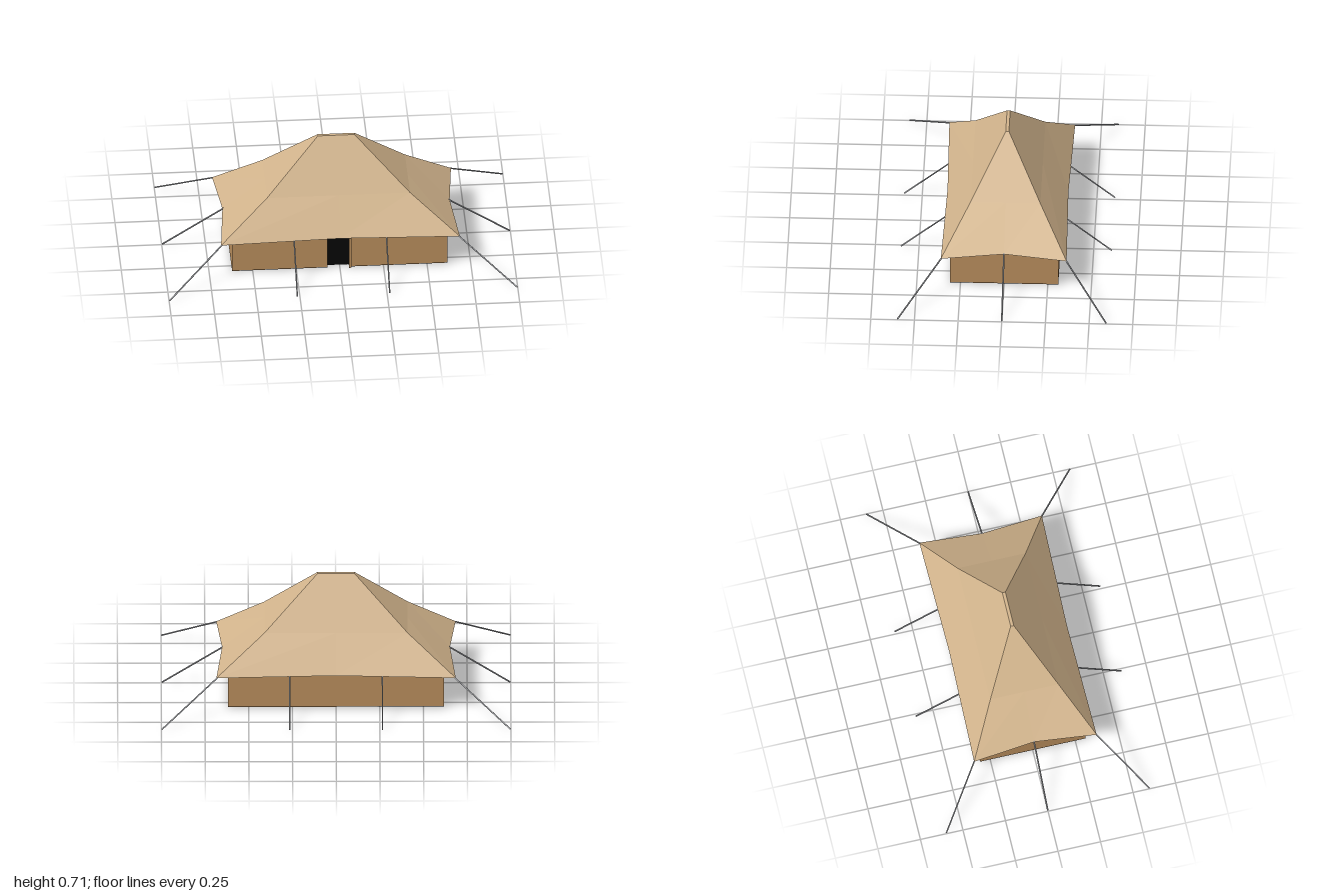
import * as THREE from 'three';

const mat = (name, color, extra = {}) => {
  const m = new THREE.MeshStandardMaterial({ color, ...extra });
  m.name = name;
  return m;
};

export function createModel() {
  const model = new THREE.Group();
  model.name = 'tent';
  const roofCanvas = mat('roof canvas', 0xd2b48c, { side: THREE.DoubleSide, flatShading: true });
  const wallCanvas = mat('wall canvas', 0xb88d5c);
  const black = mat('dark interior', 0x060606);
  const rope = mat('grey rope', 0xa4a6aa);

  const add = (name, geometry, material) => {
    const mesh = new THREE.Mesh(geometry, material);
    mesh.name = name;
    model.add(mesh);
    return mesh;
  };
  // box given by its minimum and maximum corners
  const box = (name, a, b, material) => {
    const g = new THREE.BoxGeometry(b[0] - a[0], b[1] - a[1], b[2] - a[2]);
    g.translate((a[0] + b[0]) / 2, (a[1] + b[1]) / 2, (a[2] + b[2]) / 2);
    return add(name, g, material);
  };

  // Roof: rings of corners and side middles, from the eaves up to the ridge
  const ring = (x, z, y, midX = x, midZ = z, sideY = y, frontY = y) => [
    [x, y, z], [midX, sideY, 0], [x, y, -z], [0, frontY, -midZ],
    [-x, y, -z], [-midX, sideY, 0], [-x, y, z], [0, frontY, midZ],
  ];
  const rings = [
    ring(0.685, 0.36, 0.212, 0.652, 0.346, 0.23, 0.22),
    ring(0.41, 0.2, 0.42),
    ring(0.105, 0.009, 0.706),
  ];
  const index = [];
  for (let r = 0; r < 2; r++) {
    for (let i = 0; i < 8; i++) {
      const a = r * 8 + i, b = r * 8 + (i + 1) % 8;
      index.push(a, b, b + 8, a, b + 8, a + 8);
    }
  }
  // ridge cap
  for (let i = 1; i < 7; i++) index.push(16, 16 + i, 17 + i);
  const roofGeo = new THREE.BufferGeometry();
  roofGeo.setAttribute('position', new THREE.Float32BufferAttribute(rings.flat(2), 3));
  roofGeo.setIndex(index);
  roofGeo.computeVertexNormals();
  add('roof', roofGeo, roofCanvas);

  // Walls with a doorway in the front
  const X = 0.618, Z = 0.31, T = 0.01, Y0 = 0.006, Y1 = 0.235;
  const doorL = -0.072, doorR = 0.052;
  box('backWall', [-X, Y0, -Z], [X, Y1, -Z + T], wallCanvas);
  for (const s of [-1, 1]) {
    const x = s * (X - T / 2);
    box(s > 0 ? 'leftWall' : 'rightWall', [x - T / 2, Y0, -Z + T], [x + T / 2, Y1, Z - T], wallCanvas);
  }
  box('frontWallRight', [-X, Y0, Z - T], [doorL, Y1, Z], wallCanvas);
  box('frontWallLeft', [doorR, Y0, Z - T], [X, Y1, Z], wallCanvas);

  // Door flap tied back beside the dark opening
  box('doorFlap', [doorR, Y0, Z], [doorR + 0.014, Y1, Z + 0.014], wallCanvas);
  box('doorway', [doorL - 0.01, Y0, Z - 0.03], [doorR + 0.01, Y1, Z - 0.022], black);

  // Floor, notched at the doorway
  const outline = [[-X, -Z], [X, -Z], [X, Z], [doorR + 0.014, Z], [doorR + 0.014, Z + 0.014],
    [doorR, Z + 0.014], [doorR, Z - 0.024], [doorL, Z - 0.024], [doorL, Z], [-X, Z]];
  const floorShape = new THREE.Shape(outline.map(([x, z]) => new THREE.Vector2(x, z)));
  const floorGeo = new THREE.ExtrudeGeometry(floorShape, { depth: 0.003, bevelEnabled: false });
  floorGeo.rotateX(Math.PI / 2).translate(0, Y0, 0);
  add('floor', floorGeo, black);

  // Guy ropes from the eaves to the ground
  const guyRope = (from, to) => {
    const a = new THREE.Vector3(...from), b = new THREE.Vector3(...to);
    const mesh = add('guyRope', new THREE.CylinderGeometry(0.0045, 0.0045, a.distanceTo(b), 6), rope);
    mesh.position.copy(a).add(b).multiplyScalar(0.5);
    mesh.quaternion.setFromUnitVectors(new THREE.Vector3(0, 1, 0), a.sub(b).normalize());
  };
  for (const sx of [-1, 1]) {
    guyRope([sx * 0.645, 0.232, 0], [sx * 0.997, 0.004, 0]);
    for (const sz of [-1, 1]) {
      guyRope([sx * 0.68, 0.212, sz * 0.357], [sx * 0.997, 0.004, sz * 0.597]);
      guyRope([sx * 0.265, 0.218, sz * 0.345], [sx * 0.265, 0.004, sz * 0.603]);
    }
  }
  return model;
}
